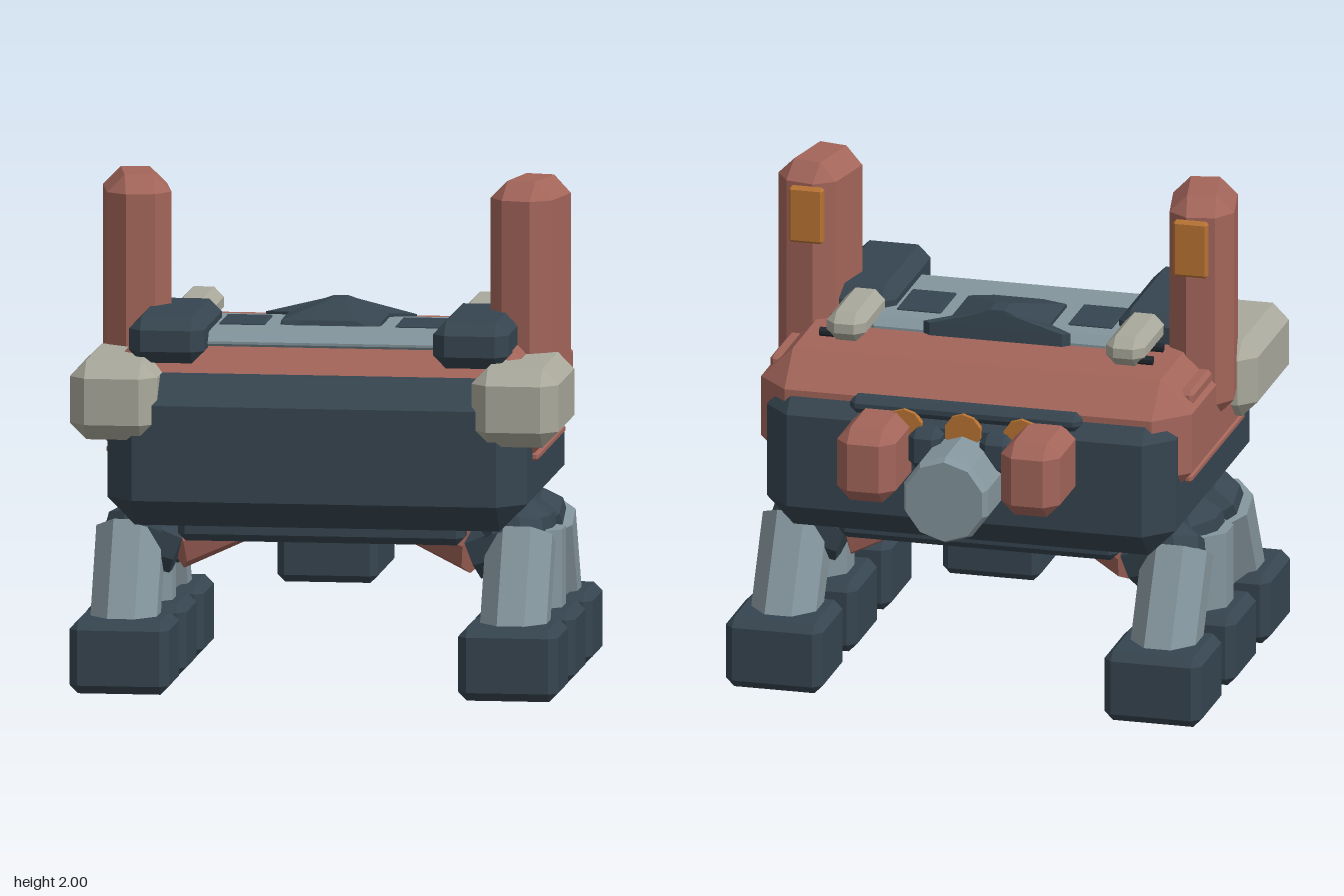
import * as THREE from 'three';
import { ConvexGeometry } from 'three/addons/geometries/ConvexGeometry.js';

const mat = (name, color) => {
  const m = new THREE.MeshStandardMaterial({ color, flatShading: true });
  m.name = name;
  return m;
};

export function createModel() {
  const group = new THREE.Group();
  const dark = mat('dark slate', 0x364550);
  const red = mat('rust red', 0xa3655a);
  const grey = mat('steel grey', 0x84959d);
  const beige = mat('stone beige', 0xaaa99c);
  const orange = mat('orange', 0xb87333);
  const black = mat('black', 0x20272e);

  const add = (name, geo, material) => {
    const m = new THREE.Mesh(geo, material);
    m.name = name;
    group.add(m);
    return m;
  };

  // Box with every edge bevelled by c, centred on the origin
  const bevelGeo = (w, h, d, c) => {
    const pts = [];
    const x = w / 2, y = h / 2, z = d / 2;
    for (const i of [-1, 1]) for (const j of [-1, 1]) for (const k of [-1, 1]) {
      pts.push(new THREE.Vector3(i * x, j * (y - c), k * (z - c)));
      pts.push(new THREE.Vector3(i * (x - c), j * y, k * (z - c)));
      pts.push(new THREE.Vector3(i * (x - c), j * (y - c), k * z));
    }
    return new ConvexGeometry(pts);
  };

  // Bevelled box from its minimum and maximum extents
  const block = (name, material, [x0, x1], [y0, y1], [z0, z1], c) => {
    const m = add(name, bevelGeo(x1 - x0, y1 - y0, z1 - z0, c), material);
    m.position.set((x0 + x1) / 2, (y0 + y1) / 2, (z0 + z1) / 2);
    return m;
  };
  // Same, placed on side s
  const side = (s, name, material, xr, yr, zr, c) =>
    block(name, material, s > 0 ? xr : [-xr[1], -xr[0]], yr, zr, c);

  // Eight-sided rod between two points
  const strut = (name, material, a, b, ra, rb = ra) => {
    const p = new THREE.Vector3(...a), q = new THREE.Vector3(...b);
    const dir = q.clone().sub(p);
    const geo = new THREE.CylinderGeometry(rb, ra, dir.length(), 8);
    geo.rotateY(Math.PI / 8);
    const m = add(name, geo, material);
    m.position.copy(p).add(q).multiplyScalar(0.5);
    m.quaternion.setFromUnitVectors(new THREE.Vector3(0, 1, 0), dir.normalize());
    return m;
  };

  // Hull and upper armour
  block('hull', dark, [-0.835, 0.835], [0.66, 1.26], [-0.54, 0.795], 0.11);
  block('upperArmour', red, [-0.88, 0.88], [0.86, 1.365], [-0.48, 0.65], 0.13);

  // Underside
  block('bellySlab', dark, [-0.57, 0.57], [0.585, 0.7], [-0.35, 0.6], 0.03);
  block('bellyPod', dark, [-0.2, 0.2], [0.4, 0.64], [-0.15, 0.4], 0.03);

  // Deck panel with hatches and raised spine
  block('deckPanel', grey, [-0.54, 0.54], [1.33, 1.41], [-0.04, 0.54], 0.035);
  const v = (x, y, z) => new THREE.Vector3(x, y, z);
  const spine = [], fin = [];
  for (const s of [-1, 1]) {
    spine.push(v(s * 0.2, 1.4, -0.05), v(s * 0.2, 1.4, 0.28), v(s * 0.17, 1.4, 0.3),
      v(s * 0.2, 1.425, -0.05), v(s * 0.2, 1.425, 0.27),
      v(s * 0.03, 1.485, -0.04), v(s * 0.03, 1.485, 0.06), v(s * 0.1, 1.43, 0.29));
    fin.push(v(s * 0.27, 1.36, -0.065), v(s * 0.3, 1.36, -0.04), v(s * 0.2, 1.36, 0.02),
      v(s * 0.27, 1.415, -0.06), v(s * 0.3, 1.415, -0.04), v(s * 0.2, 1.425, 0.02),
      v(s * 0.03, 1.48, -0.05));
  }
  add('deckSpine', new ConvexGeometry(spine), dark);
  add('deckSpineFin', new ConvexGeometry(fin), dark);

  // Engine at the rear
  const engine = new THREE.LatheGeometry([[0, 0], [0.18, 0], [0.18, 0.3], [0.165, 0.335], [0, 0.335]]
    .map(([x, y]) => new THREE.Vector2(x, y)), 10);
  engine.rotateX(-Math.PI / 2);
  add('engine', engine, grey).position.set(0, 0.955, -0.51);
  block('rearLedge', dark, [-0.47, 0.47], [1.18, 1.25], [-0.545, -0.46], 0.025);

  // Rear lamps
  for (const x of [-0.24, 0, 0.24]) {
    const lamp = add('rearLamp', new THREE.CylinderGeometry(0.075, 0.075, 0.03, 10), orange);
    lamp.rotation.x = Math.PI / 2;
    lamp.position.set(x, 1.15, -0.55);
  }

  for (const s of [-1, 1]) {
    // Deck fittings
    side(s, 'deckHatch', dark, [0.26, 0.44], [1.405, 1.418], [0.07, 0.31], 0.004);
    side(s, 'frontPod', dark, [0.455, 0.755], [1.3, 1.485], [0.07, 0.69], 0.05);
    side(s, 'deckBeam', beige, [0.49, 0.65], [1.365, 1.485], [-0.25, 0.12], 0.04);
    for (const z of [-0.04, -0.2])
      strut('beamBolt', black, [s * 0.6, 1.39, z], [s * 0.68, 1.39, z], 0.018);

    // Side armour trim
    side(s, 'sidePanel', red, [0.79, 0.865], [1.24, 1.3], [-0.28, 0.02], 0.015);
    side(s, 'sideSkirt', red, [0.8, 0.86], [0.92, 0.955], [-0.28, 0.53], 0.01);

    // Tower, turned inward at the front, with a lamp on its back
    const tower = add('tower', bevelGeo(0.255, 0.92, 0.37, 0.07), red);
    tower.position.set(s * 0.783, 1.54, 0.185);
    tower.rotation.y = -s * 0.2;
    side(s, 'towerLamp', orange, [0.715, 0.855], [1.69, 1.92], [-0.035, 0.005], 0.01);

    // Forward arm
    side(s, 'arm', beige, [0.625, 0.972], [1.01, 1.325], [0.24, 0.84], 0.065);

    // Rear pods and engine brackets
    side(s, 'rearPod', red, [0.215, 0.455], [0.905, 1.21], [-0.83, -0.48], 0.055);
    side(s, 'engineBracket', dark, [0.08, 0.21], [1.0, 1.16], [-0.63, -0.5], 0.03);

    // Three legs: thigh, knee, shin and foot
    for (const [hipZ, footZ] of [[0.4, 0.645], [0.125, 0.125], [-0.15, -0.395]]) {
      const inZ = 0.125 + (hipZ - 0.125) * 0.5;
      strut('thigh', red, [s * 0.25, 0.67, inZ], [s * 0.6, 0.57, hipZ], 0.08, 0.125);
      strut('knee', dark, [s * 0.58, 0.54, hipZ], [s * 0.76, 0.61, hipZ], 0.12, 0.15);
      const cap = [[0.15, 0], [0.15, 0.05], [0.08, 0.12], [0, 0.12]];
      const capGeo = new THREE.LatheGeometry(cap.map(([x, y]) => new THREE.Vector2(x, y)), 8);
      capGeo.rotateY(Math.PI / 8);
      const kneeCap = add('kneeCap', capGeo, dark);
      kneeCap.position.set(s * 0.735, 0.58, hipZ + (footZ - hipZ) * 0.1);
      kneeCap.rotation.set(-Math.atan2(footZ - hipZ, 0.5), 0, s * 0.2);
      strut('shin', grey, [s * 0.775, 0.6, hipZ + (footZ - hipZ) * 0.1],
        [s * 0.775, 0.18, footZ], 0.143);
      side(s, 'foot', dark, [0.575, 0.972], [0, 0.29], [footZ - 0.184, footZ + 0.184], 0.035);
    }
  }
  return group;
}
